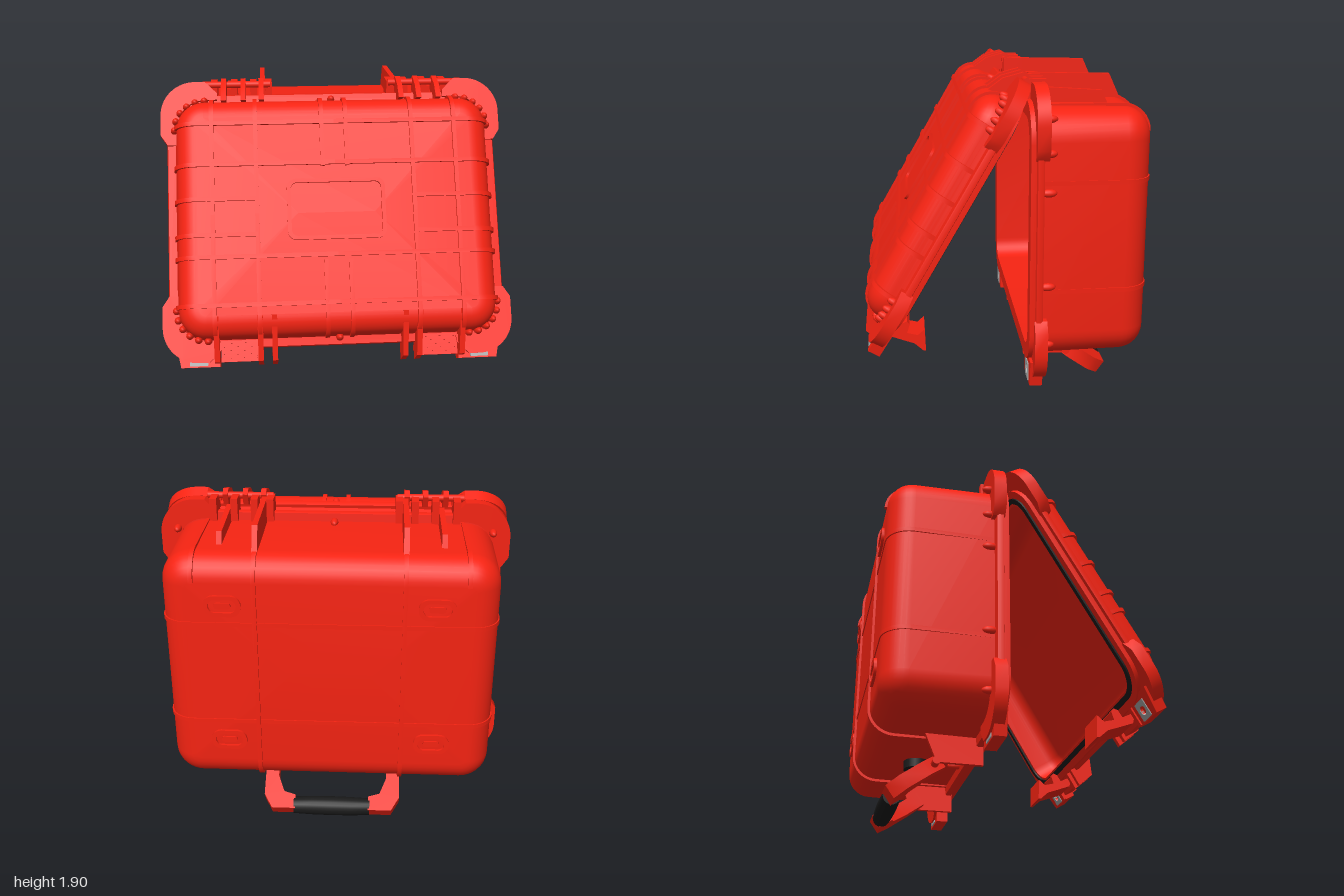
import * as THREE from 'three';
import { toCreasedNormals } from 'three/addons/utils/BufferGeometryUtils.js';

const red = new THREE.MeshStandardMaterial({ color: 0xf52312 });
const black = new THREE.MeshStandardMaterial({ color: 0x1a1a1a });
const steel = new THREE.MeshStandardMaterial({ color: 0xa8a8a8 });
const X = new THREE.Vector3(1, 0, 0), Y = new THREE.Vector3(0, 1, 0), Z = new THREE.Vector3(0, 0, 1);
const basis = (a, b, c) => new THREE.Matrix4().makeBasis(a, b, c);
const SIDES = [-1, 1];
const HW = 0.965, HH = 0.745, R = 0.22, BODY = 0.05;   // rim half sizes, corner, wall inset

function add(parent, name, geo, mat = red, x = 0, y = 0, z = 0) {
  const m = new THREE.Mesh(geo, mat);
  m.name = name;
  m.position.set(x, y, z);
  parent.add(m);
  return m;
}

// Outline of a rounded rectangle, counter-clockwise
function outline(hw, hh, r, n = 8) {
  const pts = [];
  [[1, 1], [-1, 1], [-1, -1], [1, -1]].forEach(([sx, sy], q) => {
    for (let i = 0; i <= n; i++) {
      const a = (q + i / n) * Math.PI / 2;
      pts.push(new THREE.Vector2(sx * (hw - r) + r * Math.cos(a), sy * (hh - r) + r * Math.sin(a)));
    }
  });
  return pts;
}

// Flat shape, with optional hole outline, extruded symmetrically about z = 0
function slab(pts, depth, hole) {
  const s = new THREE.Shape(pts);
  if (hole) s.holes.push(new THREE.Path(hole));
  const g = new THREE.ExtrudeGeometry(s, { depth, bevelEnabled: false });
  return toCreasedNormals(g.translate(0, 0, -depth / 2), 0.6);
}
const vec = a => a.map(p => new THREE.Vector2(p[0], p[1]));
// Plate drawn in the y,z plane, thickness along x
const fin = (pts, width) => slab(vec(pts), width).applyMatrix4(basis(Y, Z, X));

// Skin through rounded-rectangle rings given as [inset, z]
function loft(sections) {
  const pos = [], idx = [];
  let n = 0;
  for (const [inset, z] of sections) {
    const hh = HH - inset;
    const ring = outline(HW - inset, hh, Math.min(Math.max(R - inset, 0.03), hh));
    n = ring.length;
    ring.forEach(p => pos.push(p.x, p.y, z));
  }
  for (let i = 0; i < sections.length - 1; i++) for (let j = 0; j < n; j++) {
    const k = (j + 1) % n, a = i * n, b = a + n;
    idx.push(a + j, b + j, b + k, a + j, b + k, a + k);
  }
  const g = new THREE.BufferGeometry();
  g.setAttribute('position', new THREE.Float32BufferAttribute(pos, 3));
  g.setIndex(idx);
  return toCreasedNormals(g, 0.6);
}

// Hollow half of the case: opening at z = 0, closed side at z = depth
function shell(depth, r) {
  const outer = [], inner = [];
  for (let i = 0; i <= 8; i++) {
    const a = i / 8 * Math.PI / 2, s = 1 - Math.sin(a), c = 1 - Math.cos(a);
    outer.push([BODY + 0.008 + r * s, depth - r * c]);
    inner.unshift([0.105 + 0.09 * s, depth - 0.03 - 0.09 * c]);
  }
  return loft([[HH, depth], ...outer, [BODY, 0.075], [0.005, 0.07], [0, 0.06], [0, 0.035],
    [0.018, 0.03], [0.018, 0], [0.105, 0], ...inner, [HH, depth - 0.03]]);
}

// Half of a raised rib: up the wall, round the edge, along the face as far as "from"
function ribGeo(half, depth, r, from, width, lift) {
  const path = o => {
    const p = [new THREE.Vector2(half + o, 0.06)];
    for (let i = 0; i <= 8; i++) {
      const a = i / 8 * Math.PI / 2;
      p.push(new THREE.Vector2(half - r + (r + o) * Math.cos(a), depth - r + (r + o) * Math.sin(a)));
    }
    p.push(new THREE.Vector2(from, depth + o));
    return p;
  };
  return slab([...path(lift), ...path(-0.012).reverse()], width);
}
function ribAcross(parent, y, depth, r, from = 0, lift = 0.014) {
  for (const s of SIDES)
    add(parent, 'crossRib', ribGeo(HW - BODY - 0.006, depth, r, from, 0.024, lift)
      .applyMatrix4(basis(X.clone().multiplyScalar(s), Z, Y.clone().multiplyScalar(-s))), red, 0, y);
}
function ribUpright(parent, x, depth, r, from = 0, ends = SIDES) {
  for (const s of ends)
    add(parent, 'uprightRib', ribGeo(HH - BODY - 0.006, depth, r, from, 0.024, 0.014)
      .applyMatrix4(basis(Y.clone().multiplyScalar(s), Z, X.clone().multiplyScalar(s))), red, x);
}
function bud(parent, x, y, z) {
  add(parent, 'bud', new THREE.SphereGeometry(0.022, 12, 8), red, x, y, z).scale.z = 2;
}

// Corner guards and padlock tabs, the same on both halves
function rimParts(half) {
  for (const sx of SIDES) for (const sy of SIDES) {
    const s = new THREE.Shape();
    s.moveTo(0.9, 0.44);
    s.lineTo(0.96, 0.44);
    s.lineTo(1, 0.5);
    s.lineTo(1, 0.62);
    s.absarc(0.8, 0.62, 0.2, 0, Math.PI / 2, false);
    s.lineTo(0.74, 0.82);
    s.lineTo(0.67, 0.75);
    s.lineTo(0.67, 0.71);
    s.lineTo(0.72, 0.71);
    s.quadraticCurveTo(0.9, 0.71, 0.9, 0.52);
    const pts = s.getPoints(10).map(p => new THREE.Vector2(p.x * sx, p.y * sy));
    add(half, 'cornerGuard', slab(pts, 0.07), red, 0, 0, 0.06);
  }
  const hole = new THREE.Path().absarc(0, 0, 0.028, 0, Math.PI * 2).getPoints(12);
  for (const s of SIDES) {
    add(half, 'lockTab', slab(vec([[-0.12, -0.06], [0.1, -0.06], [0.13, 0.09], [-0.12, 0.09]].map(p => [p[0] * s, p[1]])),
      0.07, hole), red, s * 0.8, -0.785, 0.045);
    add(half, 'lockPlate', slab(outline(0.052, 0.052, 0.004, 1), 0.08, hole), steel, s * 0.8, -0.785, 0.045);
  }
}

function makeBase() {
  const base = new THREE.Group(), D = 0.66, r = 0.14;
  base.name = 'base';
  base.position.set(0, 1.04, -0.11);
  base.rotation.y = Math.PI;
  add(base, 'baseShell', shell(D, r));
  rimParts(base);
  for (const y of [-0.29, 0.31]) ribAcross(base, y, D, r, 0, 0.006);
  for (const s of SIDES) {
    ribUpright(base, s * 0.4, D, r);
    ribUpright(base, s * 0.73, D, r, 0.55, [1]);
    add(base, 'tallFin', fin([[0.68, 0.05], [0.83, 0.05], [0.82, 0.51], [0.69, 0.57]], 0.03), red, s * 0.4);
    add(base, 'lowFin', fin([[0.68, 0.05], [0.78, 0.05], [0.755, 0.43], [0.68, 0.46]], 0.03), red, s * 0.605);
    add(base, 'handleFin', fin([[-0.68, 0.03], [-0.85, 0.03], [-0.85, 0.29], [-0.68, 0.36]], 0.025), red, s * 0.45);
    // Feet on the closed side
    for (const y of [-0.41, 0.42]) {
      add(base, 'footRing', slab(outline(0.1, 0.06, 0.055), 0.03, outline(0.075, 0.037, 0.035)), red, s * 0.57, y, D);
      add(base, 'footPad', slab(outline(0.045, 0.017, 0.016), 0.02), red, s * 0.57, y, D);
    }
    // Hinge knuckles between the lid prongs
    for (const x of [0.365, 0.455, 0.57, 0.69])
      add(base, 'hingeKnuckle', new THREE.BoxGeometry(0.04, 0.13, 0.12), red, s * x, 0.765, 0.05);
    for (const y of [-0.6, -0.26, 0.26, 0.47, 0.65]) bud(base, s * (y * y > 0.35 ? 0.9 : 0.915), y, 0.1);
    bud(base, 0, s * 0.7, 0.1);
  }
  add(base, 'purgeValve', new THREE.CylinderGeometry(0.075, 0.075, 0.05, 24), black, 0, -0.72, 0.33);
  return base;
}

function makeLid() {
  const lid = new THREE.Group(), half = new THREE.Group(), D = 0.22, r = 0.12;
  lid.name = 'lid';
  lid.position.set(0, 1.86, -0.11);
  lid.rotation.x = -Math.PI / 6;
  half.position.set(0, -0.82, -0.035);
  lid.add(half);
  add(half, 'lidShell', shell(D, r));
  rimParts(half);
  add(half, 'gasket', slab(outline(0.905, 0.685, 0.16), 0.02, outline(0.875, 0.655, 0.13)), black);
  add(half, 'labelFrame', slab(outline(0.28, 0.175, 0.05), 0.03, outline(0.258, 0.153, 0.035)), red, 0, 0.02, D);
  for (const y of [-0.51, -0.24, 0.29, 0.53]) ribAcross(half, y, D, r);
  for (const y of [-0.115, 0.09]) ribAcross(half, y, D, r, 0.45);
  for (const s of SIDES) {
    ribUpright(half, s * 0.07, D, r, 0.27);
    ribUpright(half, s * 0.45, D, r);
    ribUpright(half, s * 0.7, D, r);
    // Guards beside the latches
    for (const x of [0.37, 0.45, 0.695])
      add(half, 'latchGuard', fin([[-0.84, 0], [-0.82, 0.115], [-0.57, 0.228], [-0.57, 0.205], [-0.66, 0.12], [-0.68, 0]], 0.03),
        red, s * x);
    add(half, 'latchBlock', new THREE.BoxGeometry(0.21, 0.12, 0.06), red, s * 0.57, -0.76, 0.05);
    for (let i = 0; i < 6; i++)
      add(half, 'latchGrip', new THREE.BoxGeometry(0.2, 0.01, 0.02), red, s * 0.57, -0.71 - i * 0.021, 0.08);
    // Hinge prongs and pin
    for (const x of [0.41, 0.515, 0.63])
      add(half, 'hingeProng', fin([[0.68, 0.18], [0.77, 0.14], [0.85, 0.06], [0.85, 0.01], [0.78, 0], [0.69, 0.08]], 0.03),
        red, s * x);
    add(half, 'hingePin', new THREE.CylinderGeometry(0.02, 0.02, 0.38, 12).rotateZ(Math.PI / 2), red, s * 0.545, 0.82, 0.035);
    // Buds round the corners
    for (const t of SIDES) for (let i = 0; i < 6; i++) {
      const a = i / 5 * Math.PI / 2;
      bud(half, s * (0.745 + 0.175 * Math.cos(a)), t * (0.525 + 0.175 * Math.sin(a)), 0.09);
    }
    bud(half, 0, s * 0.7, 0.09);
  }
  return lid;
}

function makeHandle() {
  const handle = new THREE.Group();
  handle.name = 'handle';
  handle.position.set(0, 0.2, -0.4);
  handle.rotation.x = 55 * Math.PI / 180;
  const arm = [[0.33, 0.05], [0.38, 0.05], [0.41, -0.05], [0.41, -0.2], [0.36, -0.285], [0.22, -0.285],
    [0.22, -0.2], [0.29, -0.18], [0.33, -0.08]];
  for (const s of SIDES) {
    add(handle, 'handleArm', slab(vec(arm.map(p => [p[0] * s, p[1]])), 0.085));
    add(handle, 'handlePin', new THREE.CylinderGeometry(0.022, 0.022, 0.13, 12).rotateZ(Math.PI / 2), red, s * 0.4);
  }
  const profile = vec([[0, -0.23], [0.05, -0.23], [0.055, -0.12], [0.057, 0], [0.055, 0.12], [0.05, 0.23], [0, 0.23]]);
  add(handle, 'grip', toCreasedNormals(new THREE.LatheGeometry(profile, 20), 0.6).rotateZ(Math.PI / 2), black, 0, -0.25);
  return handle;
}

export function createModel() {
  const model = new THREE.Group();
  model.name = 'hardCase';
  model.add(makeBase(), makeLid(), makeHandle());
  // Open latches hanging from the lid
  const latch = [[0.5, 0.68], [0.46, 0.6], [0.5, 0.575], [0.51, 0.55], [0.49, 0.535], [0.44, 0.55], [0.425, 0.49],
    [0.46, 0.45], [0.33, 0.445], [0.33, 0.46], [0.375, 0.51], [0.4, 0.58], [0.43, 0.66]];
  for (const s of SIDES) add(model, 'latch', fin(latch, 0.2), red, s * 0.57);
  return model;
}
